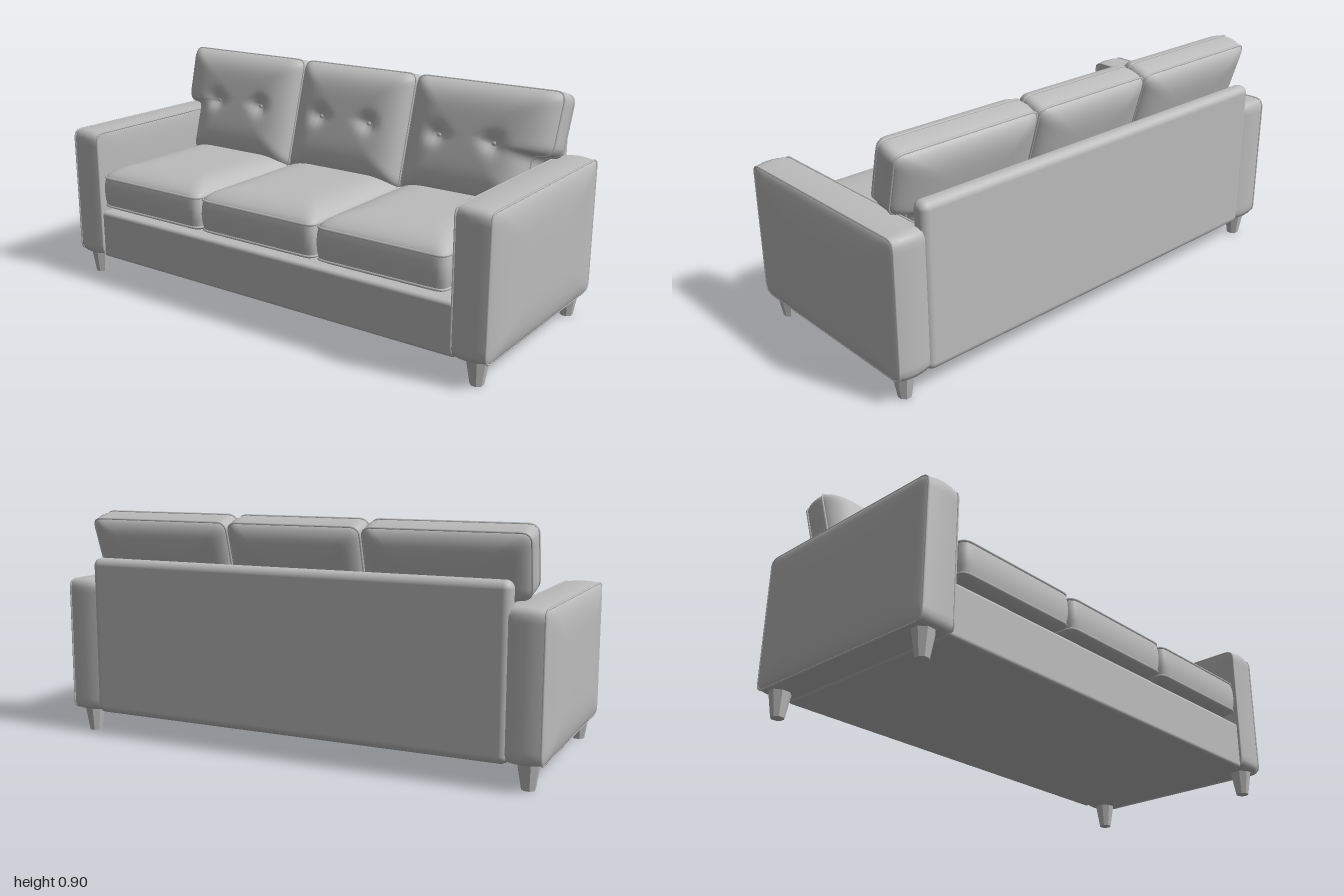
import * as THREE from 'three';
import { toCreasedNormals } from 'three/addons/utils/BufferGeometryUtils.js';
import { RoundedBoxGeometry } from 'three/addons/geometries/RoundedBoxGeometry.js';

const fabric = new THREE.MeshStandardMaterial({ color: 0xbcbcbc });
fabric.name = 'grey fabric';

function addMesh(parent, name, geometry, x = 0, y = 0, z = 0) {
  const mesh = new THREE.Mesh(geometry, fabric);
  mesh.name = name;
  mesh.position.set(x, y, z);
  parent.add(mesh);
  return mesh;
}

// Counter-clockwise polygon with rounded corners, as evenly spaced points
function roundedOutline(corners, radius, count = 120) {
  const shape = new THREE.Shape();
  const pts = corners.map(([x, y]) => new THREE.Vector2(x, y));
  const toward = (a, b) => {
    const d = b.clone().sub(a);
    return a.clone().add(d.setLength(Math.min(radius, d.length() * 0.45)));
  };
  pts.forEach((p, i) => {
    const before = toward(p, pts[(i + pts.length - 1) % pts.length]);
    const after = toward(p, pts[(i + 1) % pts.length]);
    if (i === 0) shape.moveTo(before.x, before.y);
    else shape.lineTo(before.x, before.y);
    shape.quadraticCurveTo(p.x, p.y, after.x, after.y);
  });
  shape.closePath();
  return shape.getSpacedPoints(count).slice(0, count);
}

const rect = (x0, x1, y0, y1) => [[x0, y0], [x1, y0], [x1, y1], [x0, y1]];
const puff = (t) => Math.pow(Math.max(0, 1 - t ** 5), 0.7);

// Upholstered pad: puffed faces, a side band and piping on both edges
function pad(name, { outline, centre, half, front, back, dimples = [], pipe = 0.005 }) {
  const group = new THREE.Group();
  group.name = name;
  const steps = 16;
  const rings = [];
  for (let i = 0; i <= steps; i++) {
    const t = Math.sin((i / steps) * Math.PI / 2);
    rings.push([t, half + front * puff(t), true]);
  }
  for (const k of [0.5, 0, -0.5]) rings.push([1 + 0.02 * (1 - k * k), half * k, false]);
  for (let i = steps; i >= 0; i--) {
    const t = Math.sin((i / steps) * Math.PI / 2);
    rings.push([t, -half - back * puff(t), false]);
  }
  const positions = [];
  const index = [];
  const n = outline.length;
  rings.forEach(([t, w, isFront], i) => {
    outline.forEach((p, j) => {
      const x = centre[0] + (p.x - centre[0]) * t;
      const y = centre[1] + (p.y - centre[1]) * t;
      let depth = w;
      if (isFront) {
        for (const [dx, dy] of dimples) {
          depth -= 0.03 * Math.exp(-((x - dx) ** 2 + (y - dy) ** 2) / 0.0012);
        }
      }
      positions.push(x, y, depth);
      if (i < rings.length - 1) {
        const a = i * n + j;
        const b = i * n + (j + 1) % n;
        index.push(a, a + n, b, b, a + n, b + n);
      }
    });
  });
  const geometry = new THREE.BufferGeometry();
  geometry.setAttribute('position', new THREE.Float32BufferAttribute(positions, 3));
  geometry.setIndex(index);
  geometry.computeVertexNormals();
  addMesh(group, 'padding', geometry);

  for (const side of [1, -1]) {
    const path = new THREE.CatmullRomCurve3(
      outline.map((p) => new THREE.Vector3(p.x, p.y, side * half)), true);
    addMesh(group, 'piping', new THREE.TubeGeometry(path, 160, pipe, 6, true));
  }
  for (const [x, y] of dimples) {
    const button = addMesh(group, 'button', new THREE.SphereGeometry(0.011, 14, 10), x, y, half + front - 0.03);
    button.scale.z = 0.6;
  }
  return group;
}

export function createModel() {
  const sofa = new THREE.Group();
  sofa.name = 'sofa';

  // Frame: base with front rail, and rear panel
  addMesh(sofa, 'base', new RoundedBoxGeometry(1.71, 0.2, 0.82, 4, 0.015), 0, 0.19, 0);
  addMesh(sofa, 'backPanel', new RoundedBoxGeometry(1.72, 0.63, 0.068, 6, 0.03), 0, 0.405, -0.406);

  // Arms
  for (const side of [1, -1]) {
    const arm = pad(side > 0 ? 'leftArm' : 'rightArm', {
      outline: roundedOutline(rect(-0.425, 0.425, -0.265, 0.265), 0.03),
      centre: [0, 0], half: 0.066, front: 0.024, back: 0.009, pipe: 0.004,
    });
    arm.position.set(side * 0.91, 0.363, -0.006);
    arm.rotation.y = side * Math.PI / 2;
    sofa.add(arm);
  }

  // Seat cushions
  for (const i of [-1, 0, 1]) {
    const x0 = i === 0 ? -0.27 : 0.285;
    const x1 = i === 0 ? 0.27 : 0.815;
    const seat = pad('seatCushion', {
      outline: roundedOutline(i < 0 ? rect(-x1, -x0, -0.425, 0.27) : rect(x0, x1, -0.425, 0.27), 0.035),
      centre: [i * 0.55, -0.08], half: 0.06, front: 0.05, back: 0.04,
    });
    seat.position.y = 0.39;
    seat.rotation.x = -Math.PI / 2;
    sofa.add(seat);
  }

  // Back cushions: the outer two step out over the arms
  const stepped = [[0.284, 0], [0.815, 0], [0.815, 0.22], [0.893, 0.225], [0.902, 0.463], [0.284, 0.463]];
  for (const i of [-1, 0, 1]) {
    let corners = rect(-0.272, 0.272, 0, 0.463);
    if (i > 0) corners = stepped;
    if (i < 0) corners = stepped.map(([x, y]) => [-x, y]).reverse();
    const cushion = pad('backCushion', {
      outline: roundedOutline(corners, 0.035),
      centre: [i * 0.56, 0.25], half: 0.045, front: 0.079, back: 0.045,
      dimples: [[i * 0.56 - 0.117, 0.24], [i * 0.56 + 0.117, 0.24]],
    });
    cushion.position.set(0, 0.44, -0.19);
    cushion.rotation.x = -0.28;
    sofa.add(cushion);
  }

  // Tapered legs
  const legShape = new THREE.CylinderGeometry(0.042, 0.025, 0.1, 8);
  legShape.rotateY(Math.PI / 8);
  const legGeometry = toCreasedNormals(legShape, 0.6);
  for (const x of [-0.92, 0.92]) {
    for (const z of [0.364, -0.374]) addMesh(sofa, 'leg', legGeometry, x, 0.05, z);
  }
  return sofa;
}
